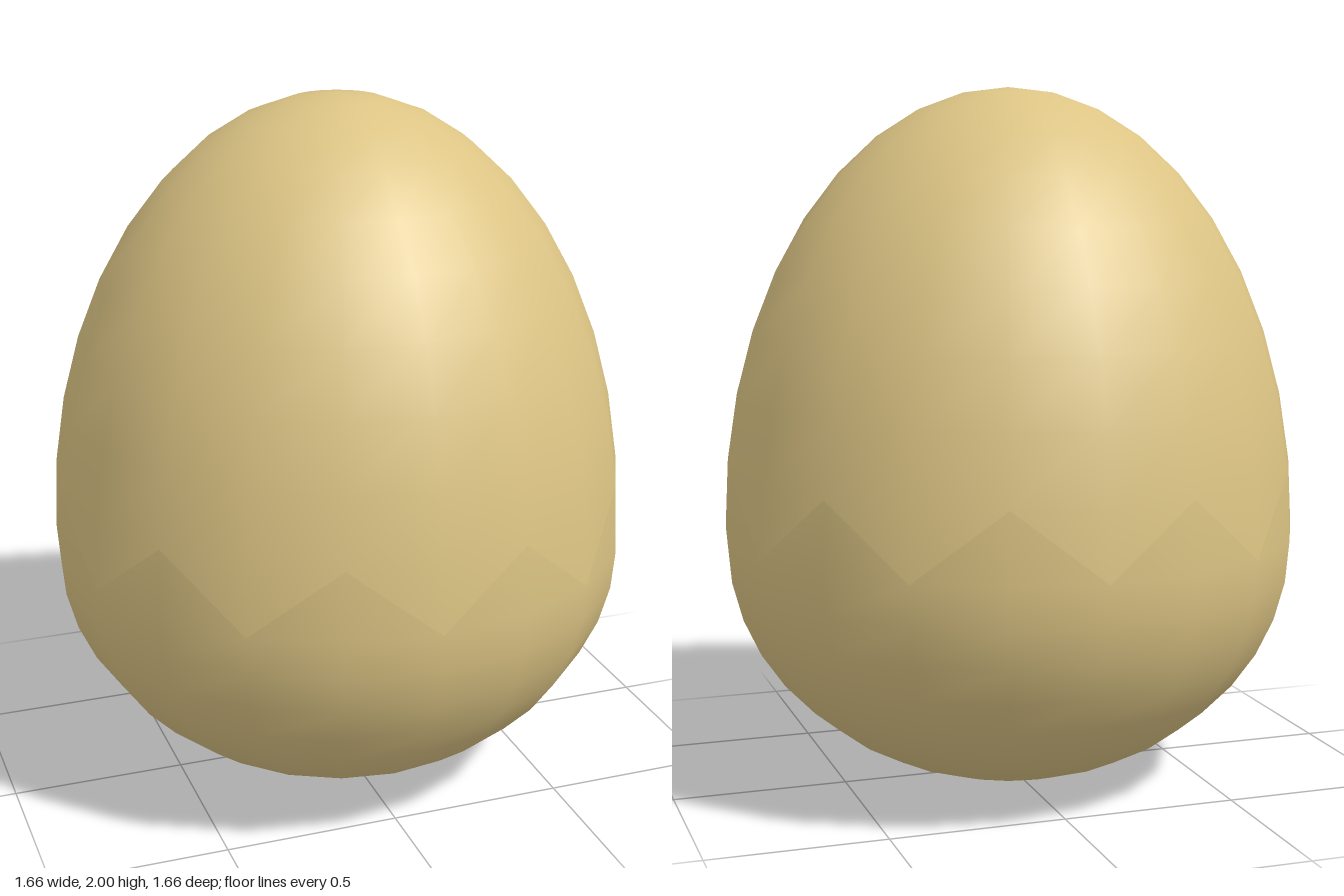
import * as THREE from 'three';
import { mergeVertices } from 'three/addons/utils/BufferGeometryUtils.js';

const SIDES = 20;   // columns around the egg
const ROWS = 20;    // rings from top (0) to bottom (20)
const RADIUS = 0.83;
const BELLY = 0.73; // height of the widest ring
const SEAM = 9;     // the crack zigzags between this ring and the next

// Point on the egg: a sphere stretched above the belly and squashed below it
function eggPoint(row, col) {
  const phi = (row / ROWS) * Math.PI;
  const theta = ((col % SIDES) / SIDES) * Math.PI * 2;
  const r = row === 0 || row === ROWS ? 0 : RADIUS * Math.sin(phi);
  const c = Math.cos(phi);
  return [r * Math.sin(theta), BELLY + c * (c > 0 ? 2 - BELLY : BELLY), r * Math.cos(theta)];
}

// One half of the shell, with a toothed rim along the crack
function shellGeometry(upper) {
  const positions = [];
  const tri = (...corners) => corners.forEach((p) => positions.push(...p));
  const first = upper ? 0 : SEAM;
  const last = upper ? SEAM : ROWS - 1;
  for (let row = first; row <= last; row++) {
    for (let col = 0; col < SIDES; col++) {
      const a = eggPoint(row, col);
      const b = eggPoint(row + 1, col);
      const c = eggPoint(row + 1, col + 1);
      const d = eggPoint(row, col + 1);
      if (row === SEAM) {
        // each quad of the seam row is shared by the two halves
        const rising = col % 2 === 0;
        if (upper) rising ? tri(a, b, d) : tri(a, c, d);
        else rising ? tri(b, c, d) : tri(a, b, c);
      } else {
        if (row > 0) tri(a, b, d);
        if (row < ROWS - 1) tri(b, c, d);
        // pole rows need only one triangle per column
        if (row === 0) positions.splice(positions.length - 9, 9, ...a, ...b, ...c);
      }
    }
  }
  const soup = new THREE.BufferGeometry();
  soup.setAttribute('position', new THREE.Float32BufferAttribute(positions, 3));
  const geometry = mergeVertices(soup);
  geometry.computeVertexNormals();
  return geometry;
}

export function createModel() {
  const group = new THREE.Group();
  group.name = 'crackedEgg';
  const eggshell = new THREE.MeshStandardMaterial({ color: 0xdcc484 });
  eggshell.name = 'eggshell';

  // Pointed cap above the crack and rounded cup below it
  for (const [name, upper] of [['upperShell', true], ['lowerShell', false]]) {
    const shell = new THREE.Mesh(shellGeometry(upper), eggshell);
    shell.name = name;
    group.add(shell);
  }
  return group;
}
